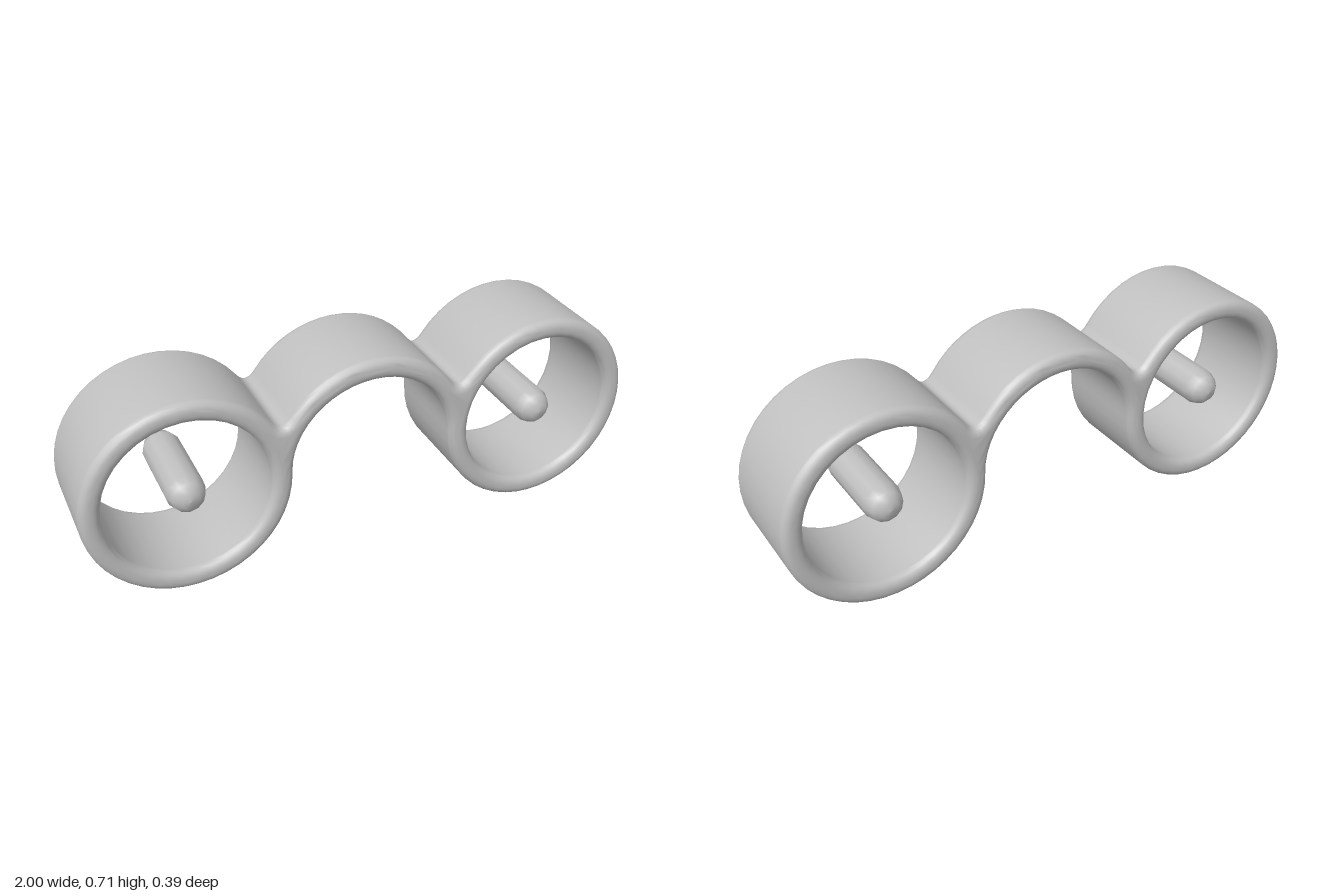
import * as THREE from 'three';
import { toCreasedNormals, mergeVertices } from 'three/addons/utils/BufferGeometryUtils.js';

const CX = 0.645, CY = 0.355, R = 0.355, HOLE = 0.284, HALF_DEPTH = 0.192, BEVEL = 0.03;

// Points on an elliptical arc (degrees); the end point is left to the next piece
function arc(cx, rx, ry, from, to, n) {
  return Array.from({ length: n }, (_, i) => {
    const a = THREE.MathUtils.degToRad(from + (to - from) * i / n);
    return new THREE.Vector2(cx + rx * Math.cos(a), CY + ry * Math.sin(a));
  });
}

// Soft valley between two neighbouring circles
function valley(p0, c, p1) {
  const curve = new THREE.QuadraticBezierCurve(p0, c, p1);
  return curve.getPoints(6).slice(0, -1);
}

export function createModel() {
  const group = new THREE.Group();
  const grey = new THREE.MeshStandardMaterial({ color: 0xc0c0c0 });
  grey.name = 'light grey';

  // Outline: right ring, arch top, left ring, arch underside
  const A = 35.3, rad = THREE.MathUtils.degToRad(A);
  const y = CY + R * Math.sin(rad), dx = R * Math.cos(rad);
  const v = (x, h) => new THREE.Vector2(x, h);
  const outline = [
    ...arc(CX, R, R, -180, 180 - A, 40),
    ...valley(v(CX - dx, y), v(CX / 2, 0.514), v(dx, y)),
    ...arc(0, R, R, A, 180 - A, 16),
    ...valley(v(-dx, y), v(-CX / 2, 0.514), v(dx - CX, y)),
    ...arc(-CX, R, R, A, 360, 40),
    ...arc(0, CX - R, 0.28, 180, 0, 24),
  ];
  const shape = new THREE.Shape(outline);
  for (const s of [-1, 1]) {
    shape.holes.push(new THREE.Path(arc(s * CX, HOLE, HOLE, 360, 0, 36)));
  }

  // Joined rings and arch with softly rounded rims
  const body = new THREE.ExtrudeGeometry(shape, {
    depth: 2 * (HALF_DEPTH - BEVEL), steps: 1,
    bevelEnabled: true, bevelThickness: BEVEL, bevelSize: BEVEL, bevelOffset: -BEVEL, bevelSegments: 5,
  });
  body.translate(0, 0, BEVEL - HALF_DEPTH);
  const frame = new THREE.Mesh(toCreasedNormals(body, 0.8), grey);
  frame.name = 'ringsAndArch';
  group.add(frame);

  // Blunt round pin in the middle of each ring
  const end = [[0, 0.197], [0.032, 0.192], [0.055, 0.17], [0.067, 0.135]];
  const profile = [
    ...end.map(([r, h]) => v(r, -h)),
    ...end.slice().reverse().map(([r, h]) => v(r, h)),
  ];
  const pinGeometry = mergeVertices(new THREE.LatheGeometry(profile, 12));
  pinGeometry.rotateX(Math.PI / 2);
  for (const s of [-1, 1]) {
    const pin = new THREE.Mesh(pinGeometry, grey);
    pin.name = s > 0 ? 'leftPin' : 'rightPin';
    pin.position.set(s * CX, CY, 0);
    group.add(pin);
  }
  return group;
}
